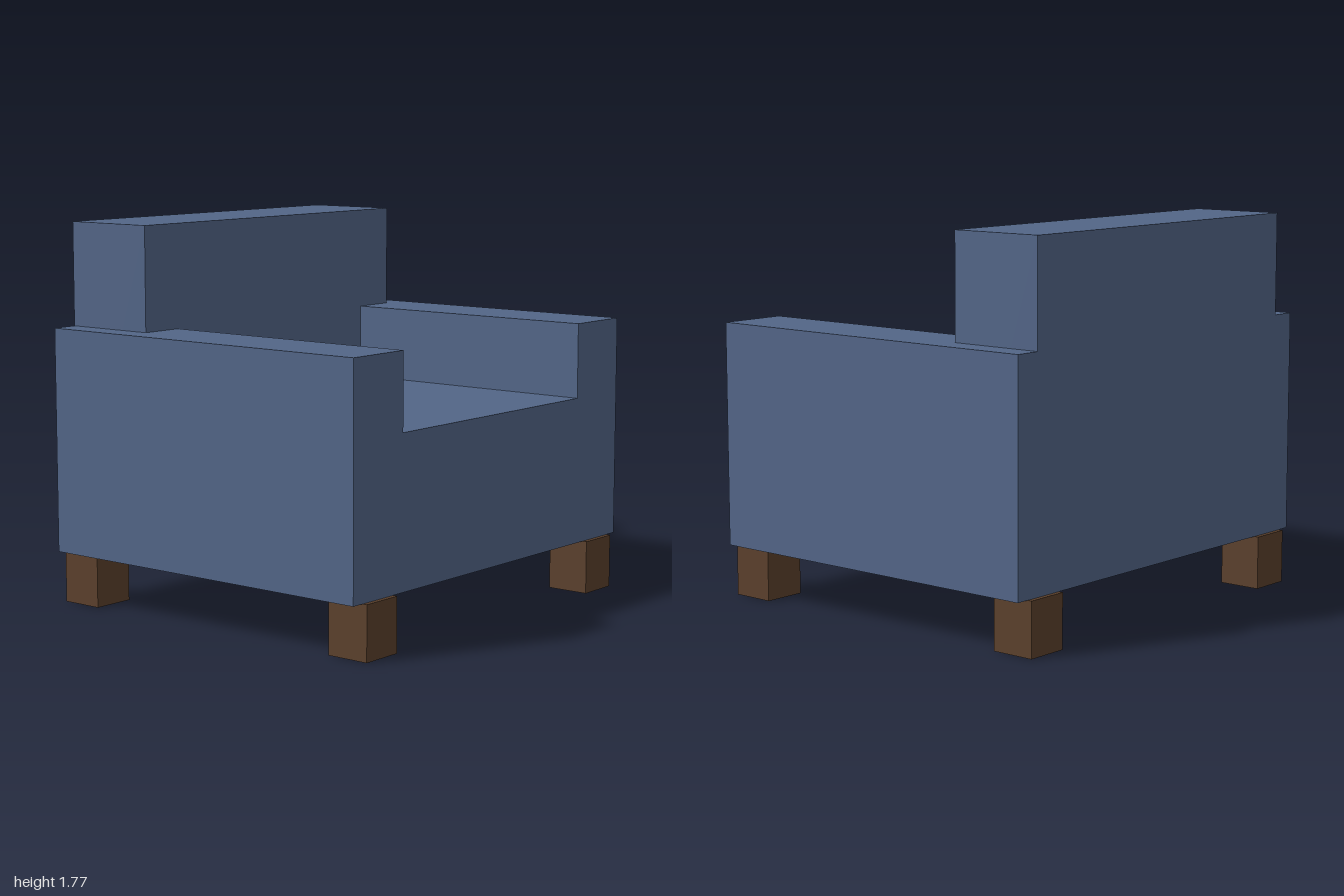
import * as THREE from 'three';

export function createModel() {
  const model = new THREE.Group();
  model.name = 'armchair';

  // hollow upholstery and legs are open underneath, so both sides show
  const fabric = new THREE.MeshStandardMaterial({ color: 0x526587, side: THREE.DoubleSide });
  fabric.name = 'blue fabric';
  const wood = new THREE.MeshStandardMaterial({ color: 0x5b402c, side: THREE.DoubleSide });
  wood.name = 'brown wood';

  // box between two corners, leaving out some sides (0..5 = +x -x +y -y +z -z)
  function openBox(name, material, [x0, y0, z0], [x1, y1, z1], omit) {
    const geometry = new THREE.BoxGeometry(x1 - x0, y1 - y0, z1 - z0);
    const index = Array.from(geometry.index.array);
    geometry.setIndex(index.filter((_, i) => !omit.includes(Math.floor(i / 6))));
    geometry.clearGroups();
    geometry.translate((x0 + x1) / 2, (y0 + y1) / 2, (z0 + z1) / 2);
    const mesh = new THREE.Mesh(geometry, material);
    mesh.name = name;
    model.add(mesh);
  }

  const bottom = 0.25, depth = 0.875, backFront = -0.42, inner = 0.875;

  // seat base, closed at the rear by the backrest
  openBox('seat', fabric, [-inner, bottom, backFront], [inner, 0.94, depth], [3, 5]);

  // backrest reaching down to the lower edge
  openBox('backrest', fabric, [-inner, bottom, -depth], [inner, 1.77, backFront], [3]);

  for (const [side, s] of [['left', 1], ['right', -1]]) {
    // armrests
    const xs = [0.665 * s, s].sort((a, b) => a - b);
    openBox(side + 'Armrest', fabric, [xs[0], bottom, -depth], [xs[1], 1.29, depth], [3]);

    // legs
    for (const [end, e] of [['Front', 1], ['Back', -1]]) {
      const x = 0.833 * s, z = 0.793 * e, h = 0.103;
      openBox(side + end + 'Leg', wood, [x - h, 0, z - h], [x + h, bottom, z + h], [3]);
    }
  }

  return model;
}
